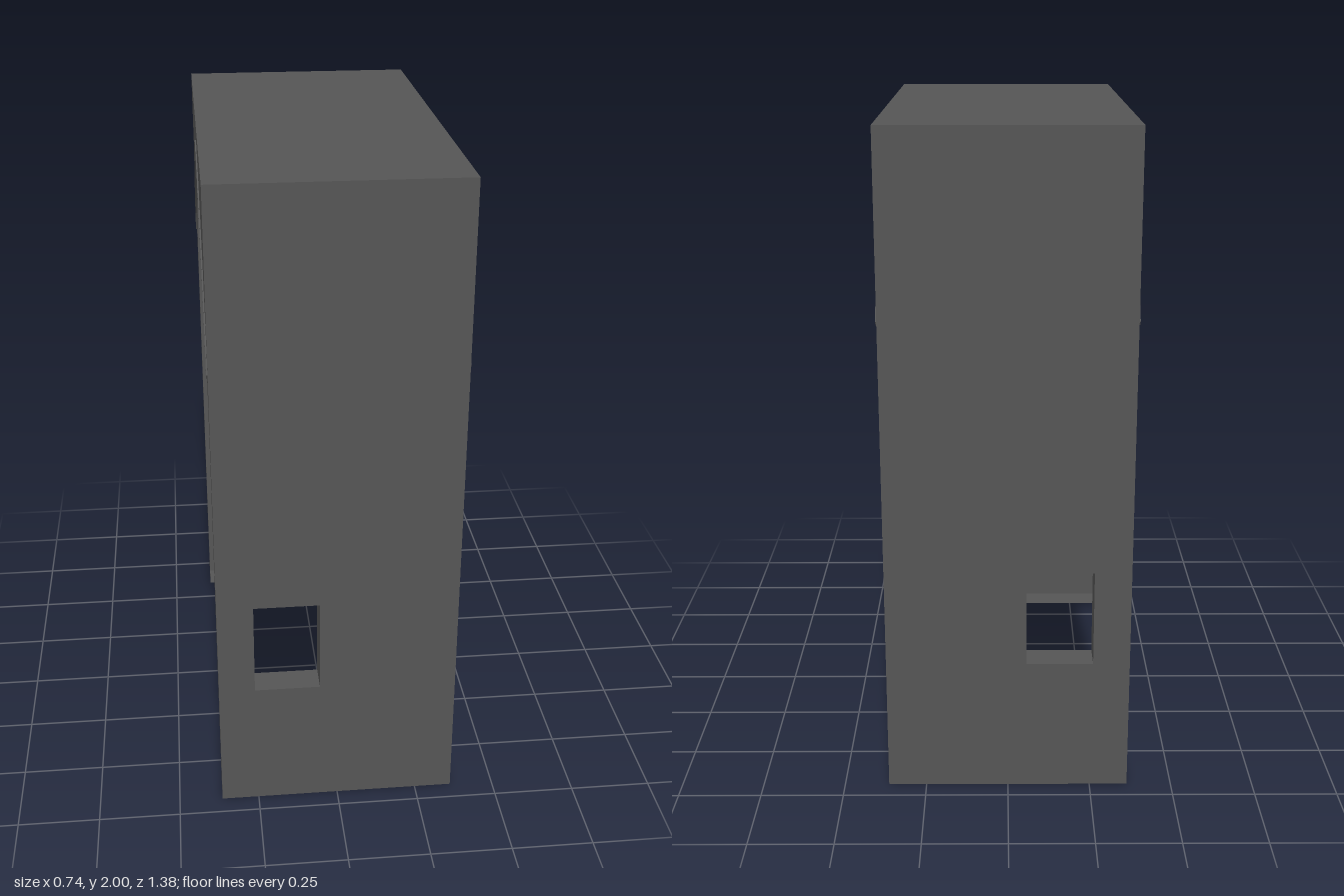
import * as THREE from 'three';

const X = 0.365, Z = 0.69, H = 2, INNER = 0.6;

export function createModel() {
  const model = new THREE.Group();
  const stone = new THREE.MeshStandardMaterial({ color: 0x555555, side: THREE.DoubleSide });
  stone.name = 'dark grey stone';

  const add = (name, geometry) => {
    const mesh = new THREE.Mesh(geometry, stone);
    mesh.name = name;
    model.add(mesh);
    return mesh;
  };
  const toShape = (pts) => new THREE.Shape(pts.map(([u, v]) => new THREE.Vector2(u, v)));
  // half of a symmetric curve, ending at the crown, completed by mirroring
  const mirrored = (half) => [...half, ...half.slice(0, -1).reverse().map(([u, v]) => [-u, v])];

  // arched end panels with a thin raised crease over each arch
  const arch = mirrored([[INNER, 0], [INNER, 1.24], [0.588, 1.35], [0.56, 1.44], [0.525, 1.515],
    [0.475, 1.58], [0.41, 1.645], [0.34, 1.697], [0.25, 1.75], [0.16, 1.79], [0.07, 1.812], [0, 1.817]]);
  const panel = toShape([[Z, 0], ...arch, [-Z, 0], [-Z, H], [Z, H]]);
  const upper = mirrored([[0.678, 1.46], [0.645, 1.53], [0.585, 1.603], [0.48, 1.705],
    [0.35, 1.792], [0.2, 1.874], [0, 1.943]]);
  const lower = upper.map(([u, v]) => [u * 0.99, v - 0.012]).reverse();
  const crease = toShape([...upper, ...lower]);
  for (const [side, s] of [['left', 1], ['right', -1]]) {
    add(side + 'ArchPanel', new THREE.ShapeGeometry(panel).rotateY(s * Math.PI / 2)).position.x = s * X;
    const rib = new THREE.ExtrudeGeometry(crease, { depth: 0.008, bevelEnabled: false });
    rib.translate(0, 0, -0.004).rotateY(s * Math.PI / 2);
    add(side + 'ArchCrease', rib).position.x = s * X;
  }

  // long walls with a window, its inward reveal, and the ledge at the foot
  const wx0 = -0.255, wx1 = -0.055, wy0 = 0.41, wy1 = 0.705;
  const wall = toShape([[-X, 0], [X, 0], [X, H], [-X, H]]);
  wall.holes.push(toShape([[wx0, wy0], [wx0, wy1], [wx1, wy1], [wx1, wy0]]));
  const depth = Z - INNER;
  for (const [side, s] of [['front', 1], ['back', -1]]) {
    const wallGeometry = new THREE.ShapeGeometry(wall);
    if (s < 0) wallGeometry.rotateY(Math.PI).scale(-1, 1, 1);
    add(side + 'Wall', wallGeometry).position.z = s * Z;
    // the mirrored back wall needs its corner order restored
    if (s < 0) {
      const index = wallGeometry.index;
      for (let i = 0; i < index.count; i += 3) {
        const a = index.getX(i);
        index.setX(i, index.getX(i + 1));
        index.setX(i + 1, a);
      }
    }
    const zMid = s * (Z + INNER) / 2;
    for (const x of [wx0, wx1]) {
      add(side + 'WindowJamb', new THREE.PlaneGeometry(depth, wy1 - wy0).rotateY(Math.PI / 2))
        .position.set(x, (wy0 + wy1) / 2, zMid);
    }
    for (const y of [wy0, wy1]) {
      add(side + 'WindowSill', new THREE.PlaneGeometry(wx1 - wx0, depth).rotateX(-Math.PI / 2))
        .position.set((wx0 + wx1) / 2, y, zMid);
    }
    add(side + 'FootLedge', new THREE.PlaneGeometry(2 * X, depth).rotateX(Math.PI / 2))
      .position.set(0, 0, zMid);
  }

  // flat roof
  add('roof', new THREE.PlaneGeometry(2 * X, 2 * Z).rotateX(-Math.PI / 2)).position.y = H;
  return model;
}
